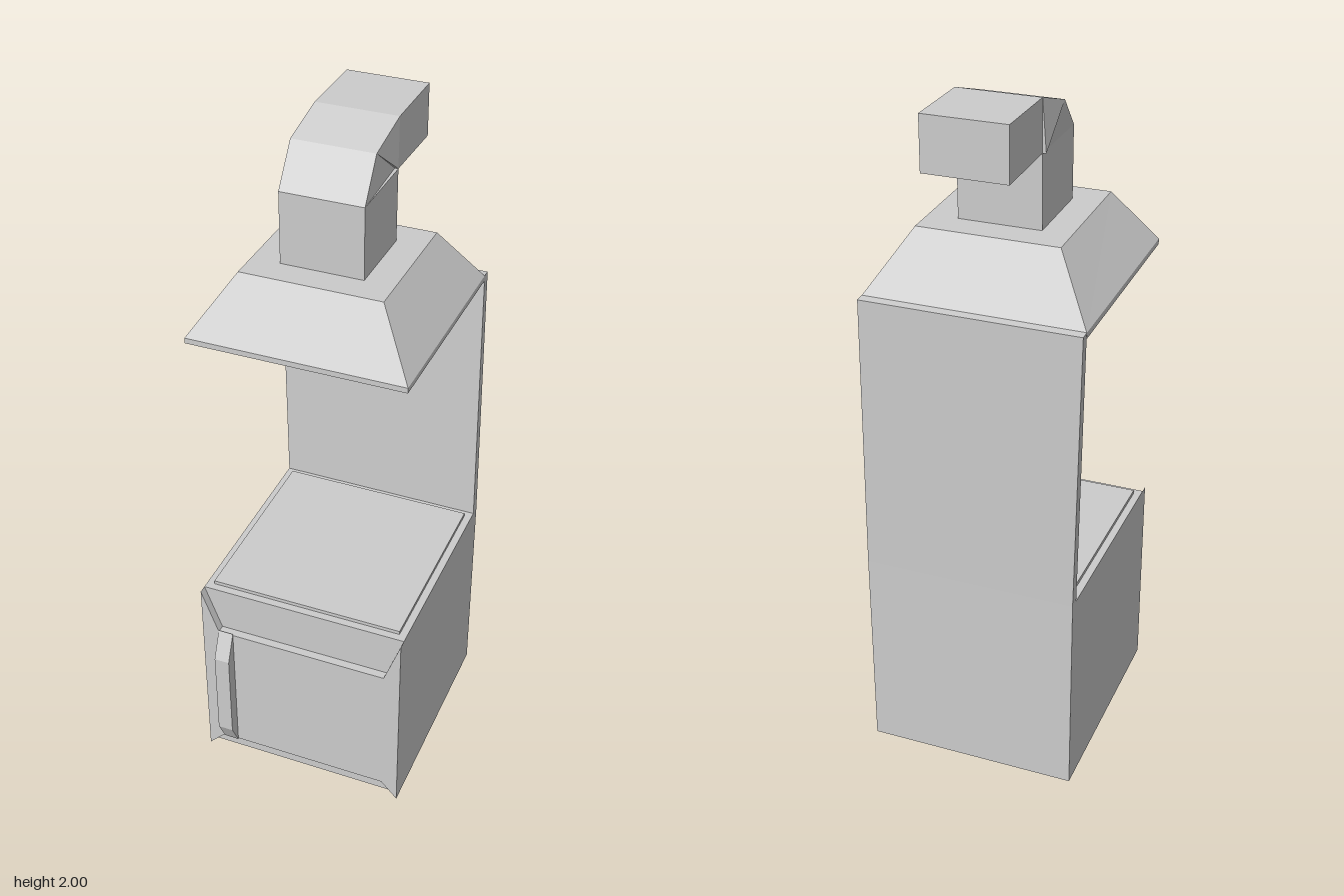
import * as THREE from 'three';

const material = new THREE.MeshStandardMaterial({ color: 0xcccccc, flatShading: true });

function addMesh(group, name, geometry) {
  const mesh = new THREE.Mesh(geometry, material);
  mesh.name = name;
  group.add(mesh);
  return mesh;
}

// Box between two corners
function addBox(group, name, [x0, y0, z0], [x1, y1, z1]) {
  const mesh = addMesh(group, name, new THREE.BoxGeometry(x1 - x0, y1 - y0, z1 - z0));
  mesh.position.set((x0 + x1) / 2, (y0 + y1) / 2, (z0 + z1) / 2);
}

// Four-cornered cross-section; front and back edges are given as [z, y]
function section(x0, x1, [zf, yf], [zb, yb]) {
  return [[x0, yf, zf], [x1, yf, zf], [x1, yb, zb], [x0, yb, zb]];
}

// Flat-faced skin through four-cornered sections, capped at both ends
function loft(sections) {
  const points = [];
  const quad = (a, b, c, d) => points.push(...a, ...b, ...c, ...a, ...c, ...d);
  for (let i = 0; i < sections.length - 1; i++) {
    const lo = sections[i], hi = sections[i + 1];
    for (let j = 0; j < 4; j++) {
      const k = (j + 1) % 4;
      quad(lo[j], lo[k], hi[k], hi[j]);
    }
  }
  const first = sections[0];
  quad(first[3], first[2], first[1], first[0]);
  quad(...sections[sections.length - 1]);
  const geometry = new THREE.BufferGeometry();
  geometry.setAttribute('position', new THREE.Float32BufferAttribute(points, 3));
  geometry.computeVertexNormals();
  return geometry;
}

function extrude(outline, depth) {
  const shape = new THREE.Shape(outline.map(([x, y]) => new THREE.Vector2(x, y)));
  return new THREE.ExtrudeGeometry(shape, { depth, bevelEnabled: false });
}

export function createModel() {
  const group = new THREE.Group();
  const left = 0.32, right = -0.306;

  // Oven cabinet and cooktop
  addBox(group, 'cabinet', [right, 0, -0.348], [left, 0.63, 0.308]);
  addBox(group, 'cooktop', [-0.284, 0.63, -0.295], [0.298, 0.641, 0.285]);

  // Door with tapered notches at top and bottom
  const door = addMesh(group, 'door', extrude([
    [right, 0], [-0.254, 0.055], [0.27, 0.055], [left, 0],
    [left, 0.63], [0.27, 0.49], [-0.254, 0.49], [right, 0.63],
  ], 0.025));
  door.position.z = 0.308;

  // Door handle: side profile extruded across x
  const handle = addMesh(group, 'handle', extrude([
    [-0.333, 0.05], [-0.37, 0.125], [-0.37, 0.41], [-0.333, 0.495],
  ], 0.046));
  handle.rotation.y = Math.PI / 2;
  handle.position.x = -0.254;

  // Slightly leaning back panel
  addMesh(group, 'backPanel', loft([
    section(right, left, [-0.318, 0.63], [-0.348, 0.63]),
    section(-0.324, 0.304, [-0.335, 1.47], [-0.362, 1.468]),
  ]));

  // Tapered hood with a thin lip, tilted a little
  addMesh(group, 'hood', loft([
    section(-0.324, 0.304, [0.294, 1.465], [-0.335, 1.452]),
    section(-0.324, 0.304, [0.294, 1.481], [-0.335, 1.469]),
    section(-0.213, 0.194, [0.184, 1.647], [-0.224, 1.64]),
  ]));

  // Square duct bending towards the back
  const inner = [-0.14, 1.853];
  addMesh(group, 'duct', loft([
    section(-0.13, 0.108, [0.1, 1.64], [-0.138, 1.638]),
    section(-0.13, 0.108, [0.1, 1.855], inner),
    section(-0.14, 0.098, [-0.004, 1.955], inner),
    section(-0.13, 0.108, [-0.143, 2], inner),
    section(-0.13, 0.108, [-0.37, 2], [-0.37, 1.847]),
  ]));

  return group;
}
